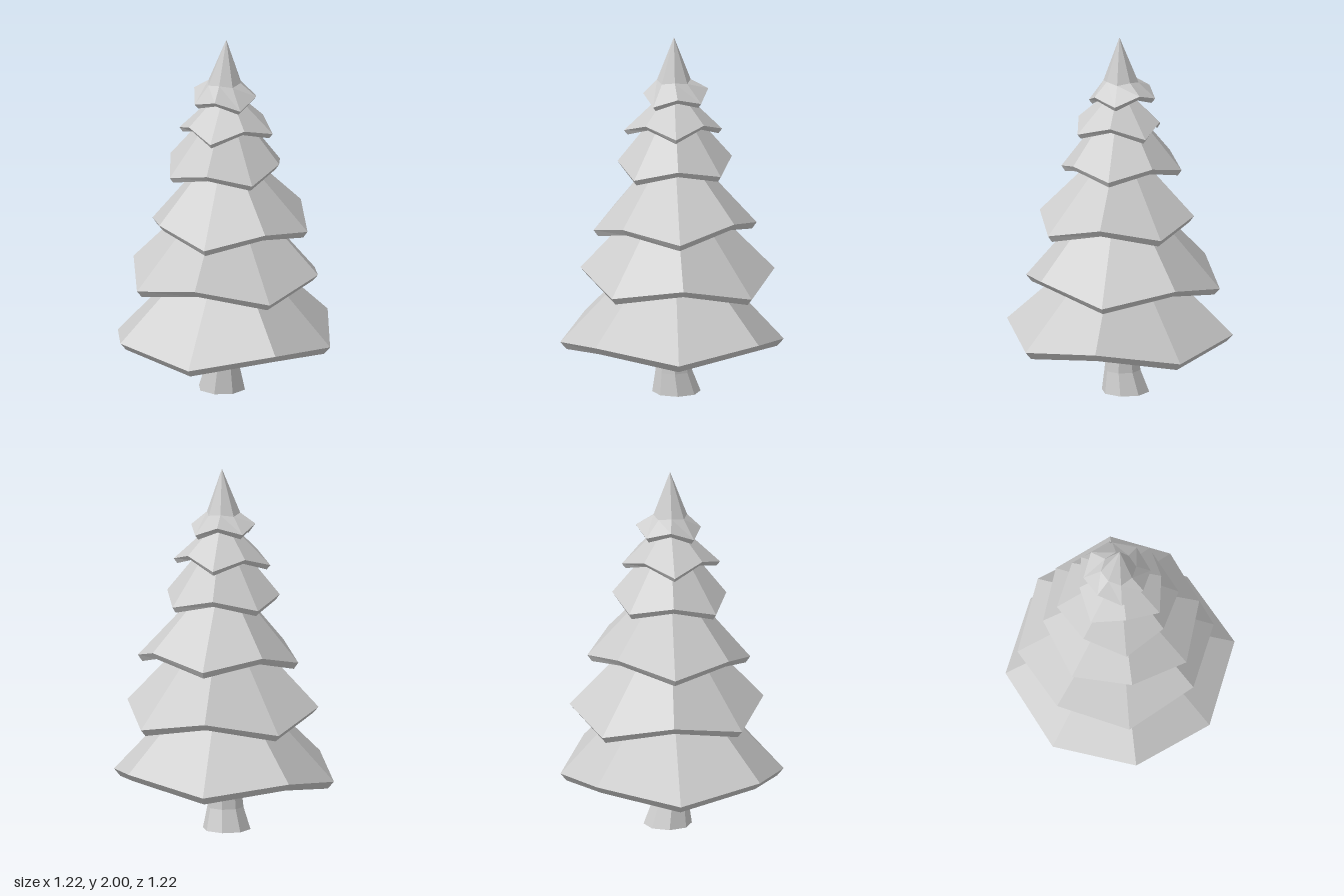
import * as THREE from 'three';

const SIDES = 8;
const material = new THREE.MeshStandardMaterial({ color: 0xcccccc, flatShading: true });

// One octagonal cross-section; corners on the axes and on the diagonals may differ
function ring({ rA, rD = rA, yA, yD = yA, cx = 0, cz = 0, tx = 0, tz = 0 }) {
  return Array.from({ length: SIDES }, (_, i) => {
    const a = (i / SIDES) * Math.PI * 2;
    const r = i % 2 ? rD : rA;
    const x = cx + r * Math.sin(a), z = cz + r * Math.cos(a);
    return [x, (i % 2 ? yD : yA) + tx * x + tz * z, z];
  });
}

const point = (y, x = 0, z = 0) => ring({ rA: 0, yA: y, cx: x, cz: z });

// Joins cross-sections, listed from the outside top downwards, into a faceted skin
function loft(name, rings) {
  const positions = [];
  for (let k = 0; k < rings.length - 1; k++) {
    const a = rings[k], b = rings[k + 1];
    for (let i = 0; i < SIDES; i++) {
      const j = (i + 1) % SIDES;
      positions.push(...a[i], ...b[i], ...b[j], ...a[i], ...b[j], ...a[j]);
    }
  }
  const geometry = new THREE.BufferGeometry();
  geometry.setAttribute('position', new THREE.Float32BufferAttribute(positions, 3));
  geometry.computeVertexNormals();
  const mesh = new THREE.Mesh(geometry, material);
  mesh.name = name;
  return mesh;
}

// A hollow skirt of branches: outer slope, thin rim, inner slope
function branchTier(name, tier) {
  const { rA, rD, yA, yD, apex, inset, drop, neck } = tier;
  const rim = ring(tier);
  const lip = ring({ ...tier, rA: rA - inset, rD: rD - inset, yA: yA - drop, yD: yD - drop });
  const outer = [point(apex, 0.01, -0.01)];
  if (neck) outer.push(ring(neck));
  const innerTop = neck ? neck.yA - 0.03 : apex - 0.08;
  return loft(name, [...outer, rim, lip, point(innerTop)]);
}

export function createModel() {
  const tree = new THREE.Group();
  tree.name = 'pineTree';

  // Trunk with flared foot
  tree.add(loft('trunk', [
    point(1.7),
    ring({ rA: 0.025, yA: 1.7 }),
    ring({ rA: 0.06, yA: 0.95 }),
    ring({ rA: 0.08, yA: 0.3, cx: -0.01, cz: -0.01 }),
    ring({ rA: 0.1, yA: 0.12, cx: -0.01, cz: -0.01 }),
    ring({ rA: 0.132, yA: 0, cx: -0.02, cz: -0.025 }),
    point(0, -0.02, -0.025),
  ]));

  // Branch tiers, bottom to top, with high corners alternating between axes and diagonals
  const tiers = [
    { rA: 0.61, rD: 0.63, yA: 0.29, yD: 0.36, tx: 0.02, apex: 0.95, inset: 0.035, drop: 0.04 },
    { rA: 0.53, rD: 0.54, yA: 0.70, yD: 0.62, cz: -0.03, tz: 0.02, apex: 1.25, inset: 0.03, drop: 0.035 },
    { rA: 0.445, rD: 0.43, yA: 0.94, yD: 1.01, cx: 0.03, cz: -0.015, tx: 0.01, tz: -0.035, apex: 1.45, inset: 0.025, drop: 0.035 },
    { rA: 0.312, rD: 0.335, yA: 1.315, yD: 1.26, cz: -0.015, tz: -0.03, apex: 1.69, inset: 0.02, drop: 0.03 },
    { rA: 0.268, rD: 0.225, yA: 1.48, yD: 1.535, cx: 0.01, cz: -0.005, tx: 0.03, apex: 1.74, inset: 0.02, drop: 0.025 },
    { rA: 0.178, rD: 0.185, yA: 1.695, yD: 1.65, cz: -0.02, tx: -0.05, tz: -0.06, apex: 2, inset: 0.02, drop: 0.025,
      neck: { rA: 0.092, rD: 0.098, yA: 1.76, yD: 1.75, cz: -0.01 } },
  ];
  tiers.forEach((tier, i) => tree.add(branchTier(`branchTier${i + 1}`, tier)));

  return tree;
}
